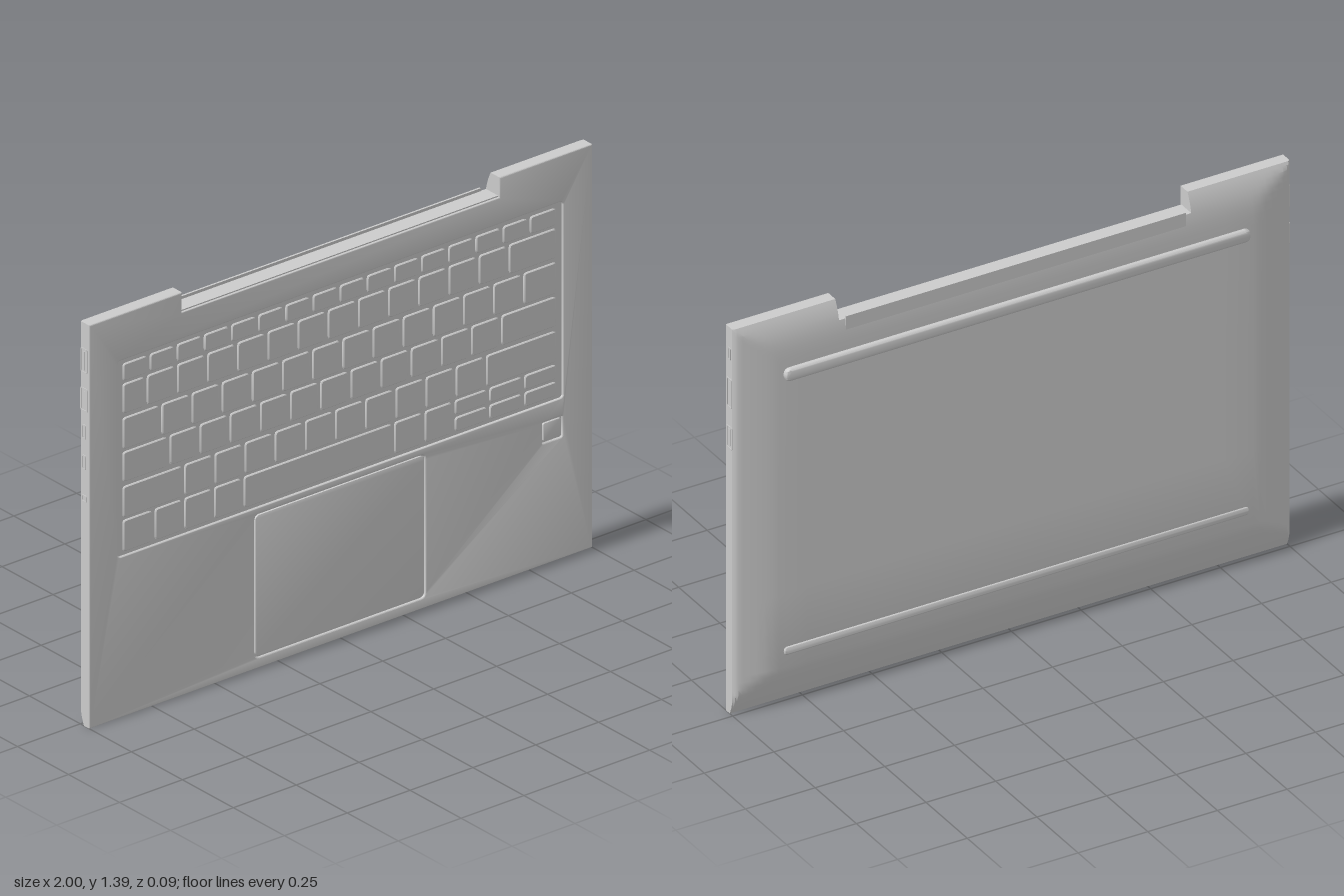
import * as THREE from 'three';
import { toCreasedNormals } from 'three/addons/utils/BufferGeometryUtils.js';

const W = 1, H = 1.39, NOTCH_X = 0.632, NOTCH_Y = 1.325;
const FRONT = 0.045, FLOOR = 0.037, BACK = -0.03;
const mat = new THREE.MeshStandardMaterial({ color: 0xcccccc });

function add(parent, name, geometry) {
  const mesh = new THREE.Mesh(geometry, mat);
  mesh.name = name;
  parent.add(mesh);
  return mesh;
}

// Rounded rectangle outline between two corners
function roundRect(x0, y0, x1, y1, r, Type = THREE.Shape) {
  const s = new Type();
  s.moveTo(x0 + r, y0);
  s.lineTo(x1 - r, y0);
  s.quadraticCurveTo(x1, y0, x1, y0 + r);
  s.lineTo(x1, y1 - r);
  s.quadraticCurveTo(x1, y1, x1 - r, y1);
  s.lineTo(x0 + r, y1);
  s.quadraticCurveTo(x0, y1, x0, y1 - r);
  s.lineTo(x0, y0 + r);
  s.quadraticCurveTo(x0, y0, x0 + r, y0);
  return s;
}

// Slab from z0 to z1 with softened rims that stay inside the outline
function slab(shape, z0, z1, bevel, curveSegments = 3, bevelSegments = 2) {
  const g = new THREE.ExtrudeGeometry(shape, {
    depth: z1 - z0 - 2 * bevel, curveSegments, bevelSegments,
    bevelThickness: bevel, bevelSize: bevel, bevelOffset: -bevel,
  });
  g.translate(0, 0, z0 + bevel);
  return toCreasedNormals(g, 0.7);
}

// Depth of the underside: flat in the middle, sloping up to every edge
function backZ(x, y) {
  const side = Math.max(0, (Math.abs(x) - 0.85) / 0.15);
  const low = Math.max(0, (0.14 - y) / 0.14);
  const high = Math.max(0, (y - 1.22) / 0.17);
  const rim = Math.max(0, (Math.abs(x) - 0.985) / 0.015);
  return BACK + Math.max(0.025 * side ** 1.4 + 0.008 * rim ** 2,
    0.048 * low ** 1.2, 0.03 * high ** 3);
}

// Lower shell: side-on cross-sections lofted along x, with a step at the hinge notch
function shellGeometry() {
  const half = [[NOTCH_X, NOTCH_Y], [NOTCH_X, H]];
  for (const x of [0.75, 0.85, 0.875, 0.9, 0.925, 0.95, 0.97, 0.985, 0.993, W]) half.push([x, H]);
  const columns = [...half.map(([x, t]) => [-x, t]).reverse(), ...half];
  const ys = [0, 0.01, 0.023, 0.047, 0.07, 0.093, 0.117, 0.14, 0.4, 0.8, 1.22,
    1.25, 1.28, 1.305, NOTCH_Y, 1.345, 1.365, 1.38, H];
  const n = ys.length, loop = 2 * n, pos = [], idx = [];
  for (const [x, top] of columns) {
    const row = ys.map(y => Math.min(y, top));
    row.forEach(y => pos.push(x, y, backZ(x, y)));
    row.reverse().forEach(y => pos.push(x, y, FLOOR));
  }
  for (let k = 0; k < columns.length - 1; k++) {
    for (let j = 0; j < loop; j++) {
      const a = k * loop + j, d = k * loop + (j + 1) % loop;
      idx.push(a, d, d + loop, a, d + loop, a + loop);
    }
  }
  const end = (columns.length - 1) * loop;
  for (let i = 0; i < n - 1; i++) {
    const b = i, b1 = i + 1, f = loop - 1 - i, f1 = f - 1;
    idx.push(end + b, end + b1, end + f1, end + b, end + f1, end + f);
    idx.push(b, f1, b1, b, f, f1);
  }
  const g = new THREE.BufferGeometry();
  g.setAttribute('position', new THREE.Float32BufferAttribute(pos, 3));
  g.setIndex(idx);
  return toCreasedNormals(g, 0.4);
}

// Top deck with openings for keyboard, touchpad and fingerprint sensor
function deckGeometry() {
  const s = new THREE.Shape([
    [-W, 0], [W, 0], [W, H], [NOTCH_X, H], [NOTCH_X, NOTCH_Y - 0.004],
    [-NOTCH_X, NOTCH_Y - 0.004], [-NOTCH_X, H], [-W, H],
  ].map(p => new THREE.Vector2(...p)));
  s.holes.push(
    roundRect(-0.888, 0.553, 0.884, 1.23, 0.012, THREE.Path),
    roundRect(-0.343, 0.035, 0.337, 0.53, 0.02, THREE.Path),
    roundRect(0.8, 0.418, 0.882, 0.492, 0.008, THREE.Path));
  return slab(s, 0.029, FRONT, 0.004, 4, 3);
}

function buildKeyboard() {
  const keyboard = new THREE.Group();
  keyboard.name = 'keyboard';
  const LEFT = -0.864, RIGHT = 0.858, GAP = 0.014, PITCH = 0.12;
  const key = (x0, x1, y0, y1) =>
    add(keyboard, 'key', slab(roundRect(x0, y0, x1, y1, 0.01), FLOOR - 0.002, 0.0445, 0.003, 2, 1));
  // One row: wide first key, a run of equal keys, last key filling the rest
  const row = (y0, y1, first, count, pitch = PITCH) => {
    key(LEFT, first - GAP, y0, y1);
    for (let i = 0; i < count; i++) key(first + i * pitch, first + (i + 1) * pitch - GAP, y0, y1);
    key(first + count * pitch, RIGHT, y0, y1);
  };
  row(1.155, 1.214, -0.756, 14, 0.108);
  row(1.043, 1.144, -0.767, 12);
  row(0.92, 1.027, -0.709, 12);
  row(0.807, 0.909, -0.677, 11);
  row(0.684, 0.79, -0.618, 10);
  // Bottom row with space bar and half-height arrow keys
  const y0 = 0.567, y1 = 0.674, mid = 0.62;
  for (const [a, b] of [[-0.864, -0.75], [-0.736, -0.632], [-0.618, -0.514], [-0.5, -0.396],
    [-0.382, 0.203], [0.217, 0.323], [0.338, 0.442]]) key(a, b, y0, y1);
  for (const [a, b] of [[0.457, 0.581], [0.595, 0.72], [0.734, 0.858]]) {
    key(a, b, y0, mid - 0.005);
    key(a, b, mid + 0.005, y1);
  }
  return keyboard;
}

// Port: a thin frame on the side wall with a tongue inside
function addPort(parent, side, name, y, height, depth) {
  const z = 0.019, h = height / 2, d = depth / 2, t = 0.004;
  const port = new THREE.Group();
  port.name = name;
  const frame = roundRect(-d, -h, d, h, 0.005);
  frame.holes.push(roundRect(-d + t, -h + t, d - t, h - t, 0.003, THREE.Path));
  add(port, 'portFrame', new THREE.ExtrudeGeometry(frame, { depth: 0.004, bevelEnabled: false, curveSegments: 3 }));
  if (height > 0.06) {
    add(port, 'portTongue', new THREE.BoxGeometry(depth * 0.25, height * 0.75, 0.006));
  }
  port.rotation.y = side * Math.PI / 2;
  port.position.set(side * (W - 0.002), y, z);
  parent.add(port);
}

export function createModel() {
  const model = new THREE.Group();
  model.name = 'laptopBase';
  add(model, 'lowerShell', shellGeometry());
  add(model, 'deck', deckGeometry());
  model.add(buildKeyboard());
  add(model, 'touchpad', slab(roundRect(-0.339, 0.039, 0.333, 0.526, 0.018), FLOOR - 0.002, 0.0435, 0.002, 4));
  add(model, 'fingerprintSensor', slab(roundRect(0.806, 0.424, 0.876, 0.486, 0.006), FLOOR - 0.002, 0.0435, 0.002));

  // Thin lip of the back cover along the hinge notch
  const lip = add(model, 'hingeLip', new THREE.BoxGeometry(1.22, 0.05, 0.007));
  lip.position.set(0, 1.31, -0.0245);

  // Long rubber feet
  for (const [name, y, r, z] of [['upperFoot', 1.194, 0.022, -0.047], ['lowerFoot', 0.197, 0.015, -0.037]]) {
    add(model, name, slab(roundRect(-0.835, y - r, 0.835, y + r, r * 0.95), z, BACK + 0.016, 0.009, 6, 4));
  }

  // Ports on both sides
  addPort(model, 1, 'lockSlot', 1.296, 0.045, 0.015);
  addPort(model, 1, 'leftPort', 1.155, 0.105, 0.03);
  addPort(model, 1, 'leftPort', 0.995, 0.08, 0.034);
  addPort(model, -1, 'rightPort', 1.26, 0.085, 0.03);
  addPort(model, -1, 'rightPort', 1.126, 0.08, 0.034);
  addPort(model, -1, 'rightPort', 1.015, 0.05, 0.018);
  addPort(model, -1, 'rightPort', 0.91, 0.05, 0.018);
  addPort(model, -1, 'audioSocket', 0.785, 0.024, 0.024);
  return model;
}
